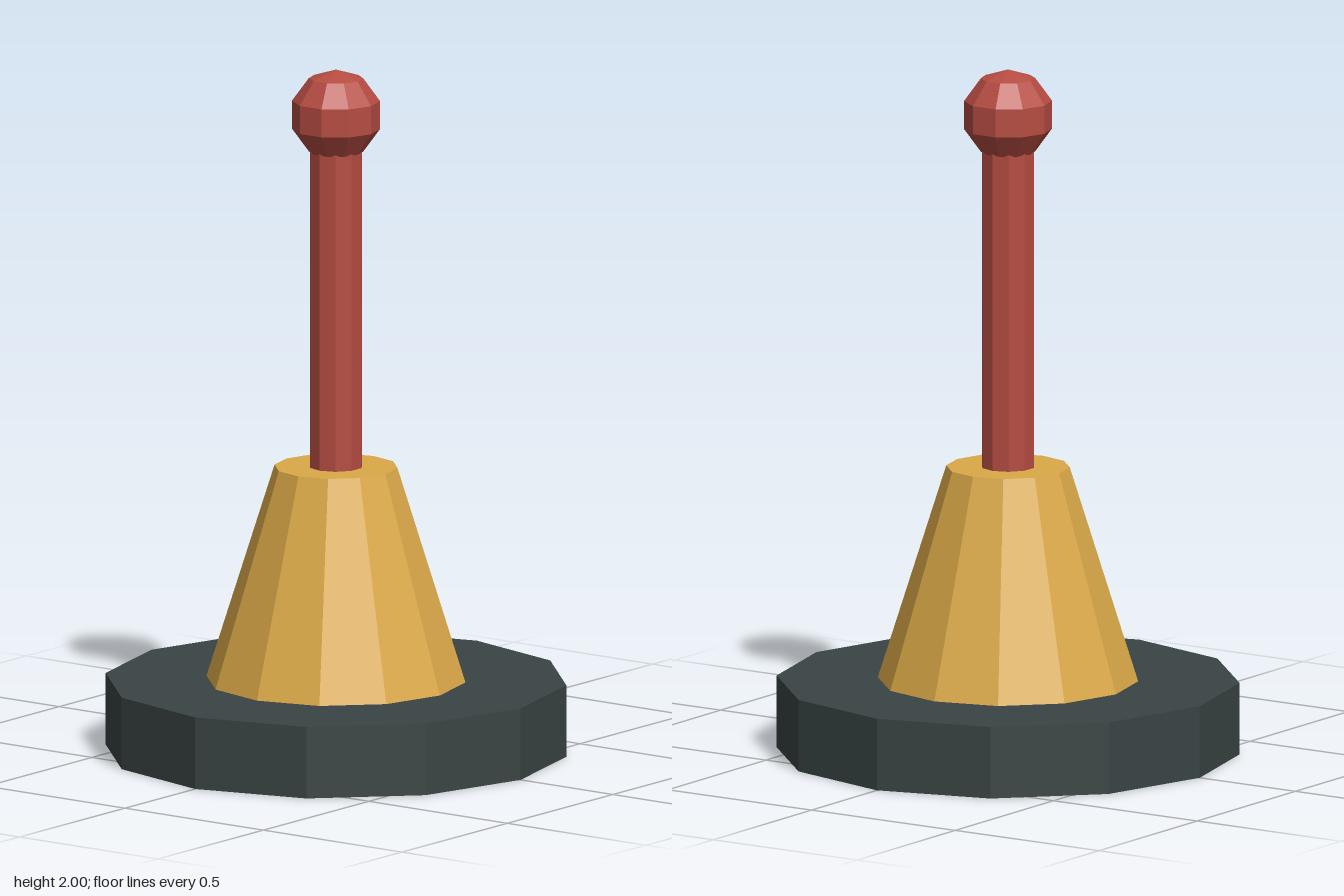
import * as THREE from 'three';

function flatMaterial(name, color) {
  const m = new THREE.MeshStandardMaterial({ color, flatShading: true });
  m.name = name;
  return m;
}

export function createModel() {
  const model = new THREE.Group();
  model.name = 'handleOnWeightedBase';

  const charcoal = flatMaterial('charcoal', 0x3a4444);
  const gold = flatMaterial('gold', 0xdcaa48);
  const red = flatMaterial('red', 0xb64c42);

  const add = (name, geometry, material, y) => {
    const mesh = new THREE.Mesh(geometry, material);
    mesh.name = name;
    mesh.position.y = y;
    model.add(mesh);
  };

  // Faceted column standing between two heights
  const column = (name, material, rTop, rBottom, y0, y1, sides) =>
    add(name, new THREE.CylinderGeometry(rTop, rBottom, y1 - y0, sides), material, (y0 + y1) / 2);

  column('base', charcoal, 0.667, 0.667, 0, 0.21, 12);
  column('cone', gold, 0.178, 0.375, 0.21, 0.835, 12);
  column('shaft', red, 0.078, 0.078, 0.835, 1.77, 10);

  // Low-poly ball on top of the shaft
  add('knob', new THREE.SphereGeometry(0.133, 10, 5), red, 1.867);

  return model;
}
